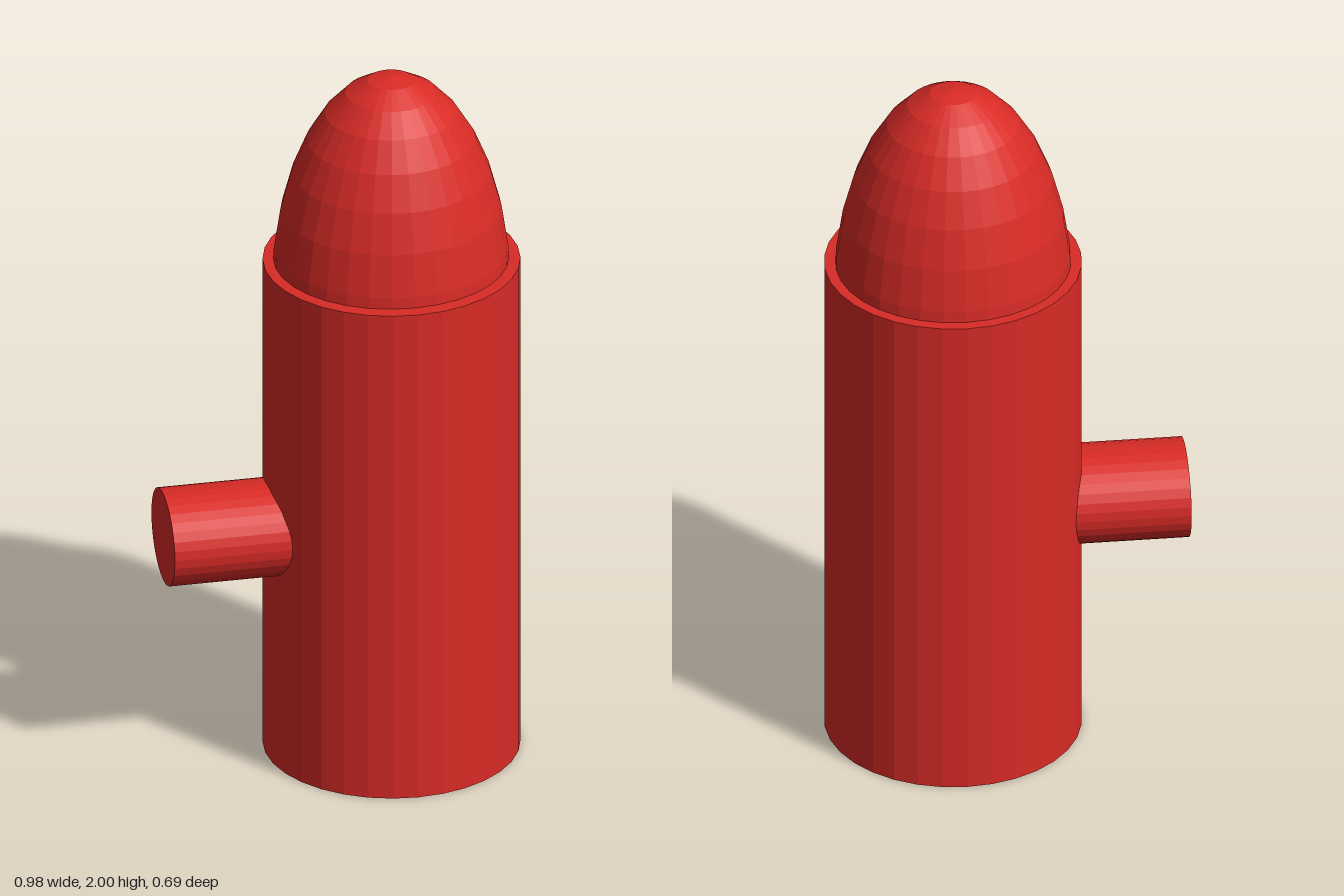
import * as THREE from 'three';

export function createModel() {
  const group = new THREE.Group();
  const red = new THREE.MeshStandardMaterial({ color: 0xd92b26, flatShading: true });
  const axisX = 0.14; // the upright column sits off-centre to balance the pipe

  function add(name, geometry, x, y, z) {
    const mesh = new THREE.Mesh(geometry, red);
    mesh.name = name;
    mesh.position.set(x, y, z);
    group.add(mesh);
    return mesh;
  }

  // Main upright column
  const bodyHeight = 1.453;
  add('body', new THREE.CylinderGeometry(0.347, 0.347, bodyHeight, 32), axisX, bodyHeight / 2, 0);

  // Stretched dome, its lower half sunk into the column
  const dome = add('dome', new THREE.SphereGeometry(1, 32, 16), axisX, 1.36, -0.005);
  dome.scale.set(0.322, 0.64, 0.314);

  // Oval side pipe, running from its outer end into the column
  const pipeEnd = -0.49, pipeLength = 0.5;
  const pipeGeometry = new THREE.CylinderGeometry(1, 1, pipeLength, 32).rotateZ(Math.PI / 2);
  const pipe = add('sidePipe', pipeGeometry, pipeEnd + pipeLength / 2, 0.685, 0.01);
  pipe.scale.set(1, 0.13, 0.15);

  return group;
}
